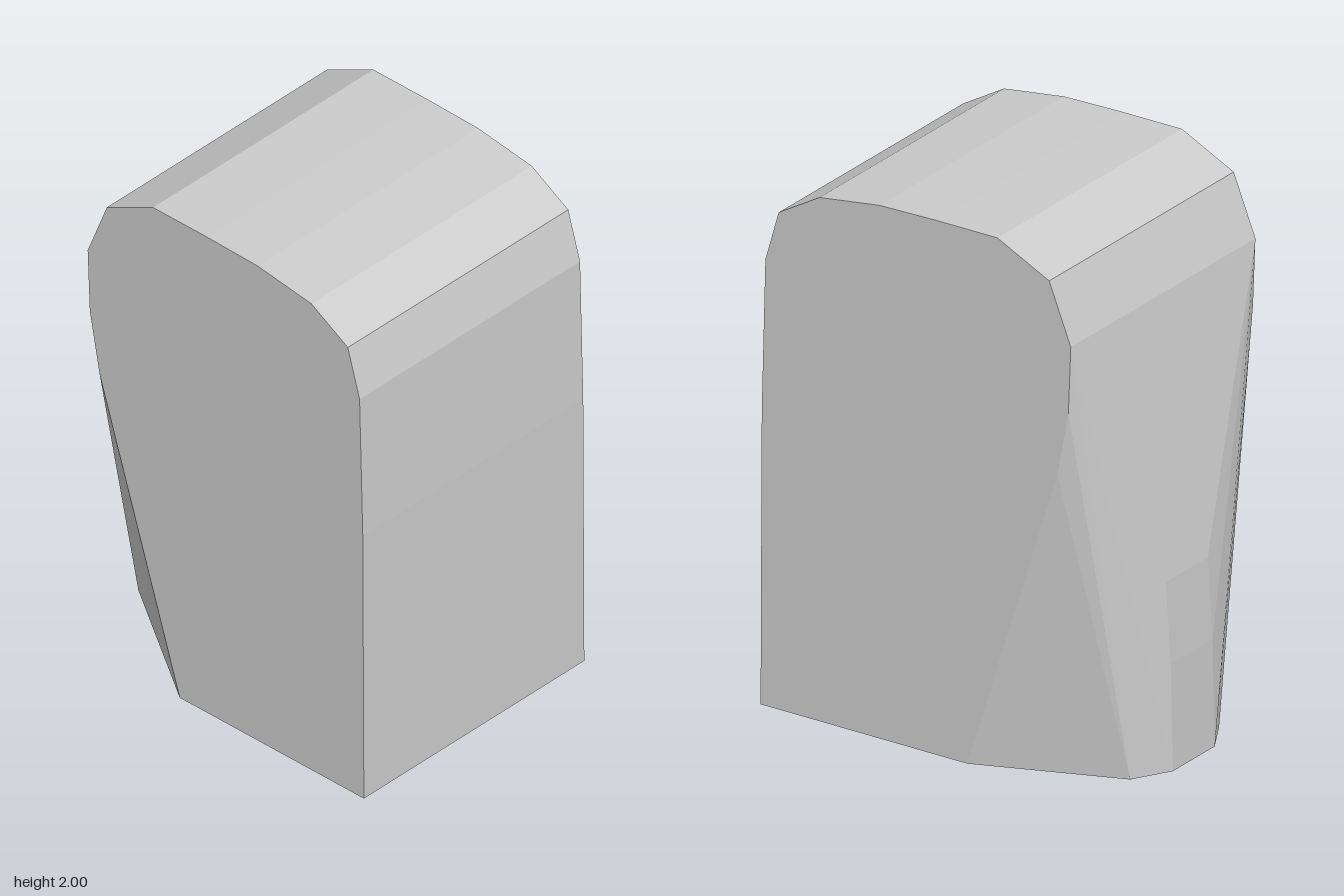
import * as THREE from 'three';
import { ConvexGeometry } from 'three/addons/geometries/ConvexGeometry.js';

export function createModel() {
  const group = new THREE.Group();
  const points = [];
  const add = (x, y, z) => points.push(new THREE.Vector3(x, y, z));

  // Side outline [z, y], repeated on both flat flanks
  const outline = [
    [0.735, 0], [0.73, 1.1], [0.715, 1.67], [0.66, 1.86], [0.49, 1.96], [0.24, 1.995],
    [0, 2], [-0.25, 2], [-0.465, 1.895], [-0.555, 1.67], [-0.545, 1.42], [-0.5, 1.18], [-0.125, 0],
  ];
  for (const x of [-0.55, 0.55]) for (const [z, y] of outline) add(x, y, z);

  // Slightly off-centre ridge bulging out of the back
  const ridgeX = 0.075;
  for (const side of [-1, 1]) {
    for (const [y, z] of [[0, -0.735], [0.4, -0.726], [0.7, -0.706]]) add(ridgeX + side * 0.125, y, z);
    add(ridgeX + side * 0.265, 0, -0.655);
  }

  // Faceted solid wrapped around the outlines
  const body = new THREE.Mesh(
    new ConvexGeometry(points),
    new THREE.MeshStandardMaterial({ color: 0xcccccc, flatShading: true })
  );
  body.name = 'facetedBlock';
  group.add(body);
  return group;
}
